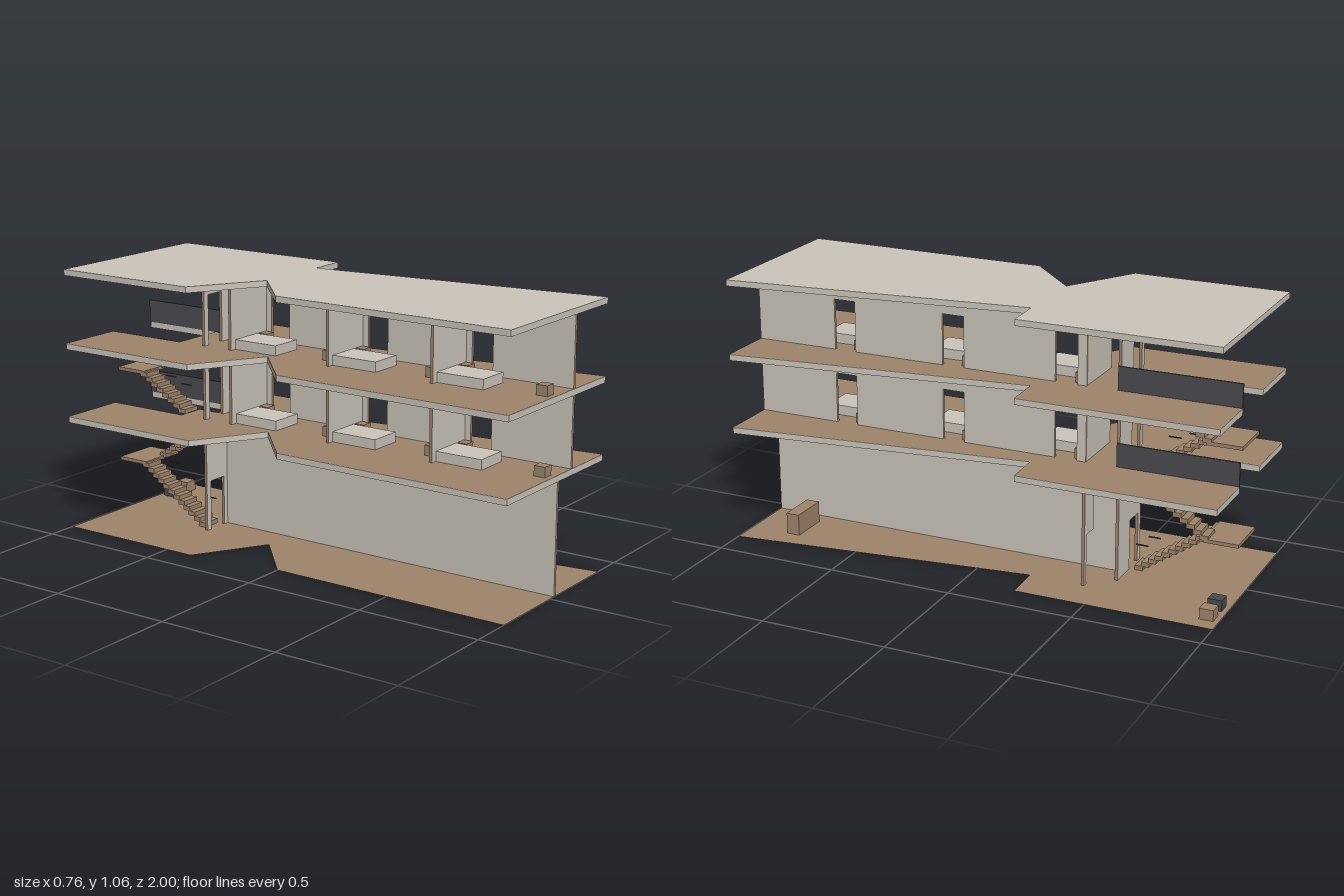
import * as THREE from 'three';

const mat = (name, color, side = THREE.FrontSide) => {
  const m = new THREE.MeshStandardMaterial({ color, side });
  m.name = name;
  return m;
};

export function createModel() {
  const plaster = mat('plaster', 0xcbc5ba);
  const wood = mat('wood', 0x9e846b);
  const woodSheet = mat('woodSheet', 0x9e846b, THREE.DoubleSide);
  const dark = mat('darkMetal', 0x4a4a50);

  const root = new THREE.Group();
  root.name = 'building';
  const group = (name) => {
    const g = new THREE.Group();
    g.name = name;
    root.add(g);
    return g;
  };
  const add = (parent, name, geo, material) => {
    const m = new THREE.Mesh(geo, material);
    m.name = name;
    parent.add(m);
    return m;
  };
  // Box given by its limits on each axis
  const box = (parent, name, material, [x0, x1], [y0, y1], [z0, z1]) =>
    add(parent, name, new THREE.BoxGeometry(x1 - x0, y1 - y0, z1 - z0), material)
      .position.set((x0 + x1) / 2, (y0 + y1) / 2, (z0 + z1) / 2);

  // Floor outline, with an optional stairwell cut into the back edge
  const outline = (notch) => {
    const pts = [[-0.38, -1]];
    if (notch) pts.push([-0.1, -1], [-0.1, notch], [0.134, notch], [0.134, -1]);
    pts.push([0.378, -1], [0.378, -0.215], [0.222, -0.21], [0.372, 1],
      [-0.328, 1], [-0.323, 0], [-0.1, -0.21], [-0.38, -0.38]);
    return new THREE.Shape(pts.map(([x, z]) => new THREE.Vector2(x, -z)));
  };
  const slab = (parent, y, notch, floor) => {
    const s = outline(notch);
    const geo = new THREE.ExtrudeGeometry(s, { depth: 0.024, bevelEnabled: false });
    add(parent, 'slab', geo.rotateX(-Math.PI / 2).translate(0, y, 0), plaster);
    if (!floor) return;
    const top = new THREE.ShapeGeometry(s).rotateX(-Math.PI / 2);
    add(parent, 'floorFinish', top.translate(0, y + 0.0255, 0), wood);
  };

  // Thin wall from a to b with door openings; ends and door jambs are wood
  const T = 0.012;
  const wall = (parent, name, axis, at, [a, b], [y0, y1], doors = []) => {
    const pts = [[a, y0]];
    for (const [d0, d1] of doors) {
      pts.push([d0, y0], [d0, y0 + 0.203], [d1, y0 + 0.203], [d1, y0]);
    }
    pts.push([b, y0], [b, y1], [a, y1]);
    const shape = new THREE.Shape(pts.map((p) => new THREE.Vector2(...p)));
    const geo = new THREE.ExtrudeGeometry(shape, { depth: T, bevelEnabled: false });
    geo.translate(0, 0, -T / 2);
    if (axis === 'z') geo.rotateY(-Math.PI / 2).translate(at, 0, 0);
    else geo.translate(0, 0, at);
    add(parent, name, geo, [plaster, wood]);
  };

  // Two flights with a half landing, and short rods between them
  const stairs = (parent, y0, y1, zStart, n, rods) => {
    const zEnd = -0.875, mid = (y0 + y1) / 2;
    const rise = (mid - y0) / n, run = (zStart - zEnd) / n;
    for (let i = 0; i < n; i++) {
      const z = zStart - i * run;
      const low = y0 + i * rise, high = y1 - (i + 1) * rise;
      const depth = [z - run - 0.006, z];
      box(parent, 'lowerStep', wood, [-0.075, 0.005], [low, low + rise], depth);
      box(parent, 'upperStep', wood, [0.035, 0.115], [high, high + rise], depth);
    }
    box(parent, 'landing', wood, [-0.075, 0.115], [mid - 0.008, mid + 0.006], [-1, -0.862]);
    for (const [z, y] of rods) {
      box(parent, 'rod', dark, [-0.004, 0.002], [y - 0.002, y + 0.002], [z - 0.025, z + 0.025]);
    }
  };

  // Ground plate
  add(root, 'ground', new THREE.ShapeGeometry(outline()).rotateX(-Math.PI / 2), woodSheet);

  // Ground storey
  const ground = group('groundStorey');
  wall(ground, 'longWall', 'z', 0.036, [-0.52, 1], [0, 0.438]);
  wall(ground, 'stairWall', 'x', -0.526, [-0.1, 0.127], [0, 0.438], [[-0.075, 0.009]]);
  wall(ground, 'entranceLintel', 'x', -0.429, [0.137, 0.225], [0.2, 0.438]);
  wall(ground, 'entrancePier', 'x', -0.429, [0.205, 0.225], [0, 0.2]);
  box(ground, 'counter', wood, [0.1, 0.26], [0, 0.086], [0.785, 0.84]);
  box(ground, 'stool', wood, [0.26, 0.315], [0, 0.043], [-0.98, -0.925]);
  box(ground, 'darkStool', dark, [0.17, 0.222], [0, 0.043], [-0.98, -0.925]);
  stairs(ground, 0, 0.44, -0.553, 12, [[-0.58, 0.104], [-0.63, 0.145], [-0.69, 0.184],
    [-0.765, 0.222], [-0.855, 0.292], [-0.855, 0.33], [-0.8, 0.373], [-0.77, 0.41]]);

  // Two identical upper storeys
  const roomStarts = [-0.4, 0.067, 0.534];
  [[0.438, -0.55], [0.738, -0.65]].forEach(([y, notch], level) => {
    const g = group(level ? 'topStorey' : 'middleStorey');
    slab(g, y, notch, true);
    const f = y + 0.025, top = f + 0.275;
    wall(g, 'corridorWall', 'z', 0.135, [-0.4, 1], [f, top],
      roomStarts.map((z) => [z + 0.037, z + 0.127]));
    wall(g, 'stairWall', 'x', -0.526, [-0.1, 0.13], [f, top], [[-0.075, 0.009]]);
    box(g, 'railing', dark, [0.13, 0.138], [f, f + 0.093], [-1, -0.522]);
    // Rooms with their furniture
    for (const z of roomStarts) {
      wall(g, 'partition', 'x', z + T / 2, [-0.1, 0.129], [f, top]);
      box(g, 'bed', plaster, [-0.075, 0.065], [f, f + 0.04], [z + 0.014, z + 0.21]);
      box(g, 'nightstand', wood, [0.075, 0.12], [f, f + 0.04], [z + 0.014, z + 0.055]);
      box(g, 'desk', wood, [-0.028, 0.018], [f, f + 0.04], [z + 0.4, z + 0.446]);
    }
  });

  // Stairs between the middle and top storeys
  const upper = group('upperStairs');
  box(upper, 'stairHead', wood, [-0.1, 0.015], [0.44, 0.4635], [-0.645, -0.55]);
  stairs(upper, 0.462, 0.745, -0.65, 8, [[-0.7, 0.562], [-0.78, 0.586],
    [-0.86, 0.65], [-0.865, 0.685], [-0.83, 0.71], [-0.82, 0.735]]);

  // Roof
  slab(group('roof'), 1.037, 0, false);
  return root;
}
